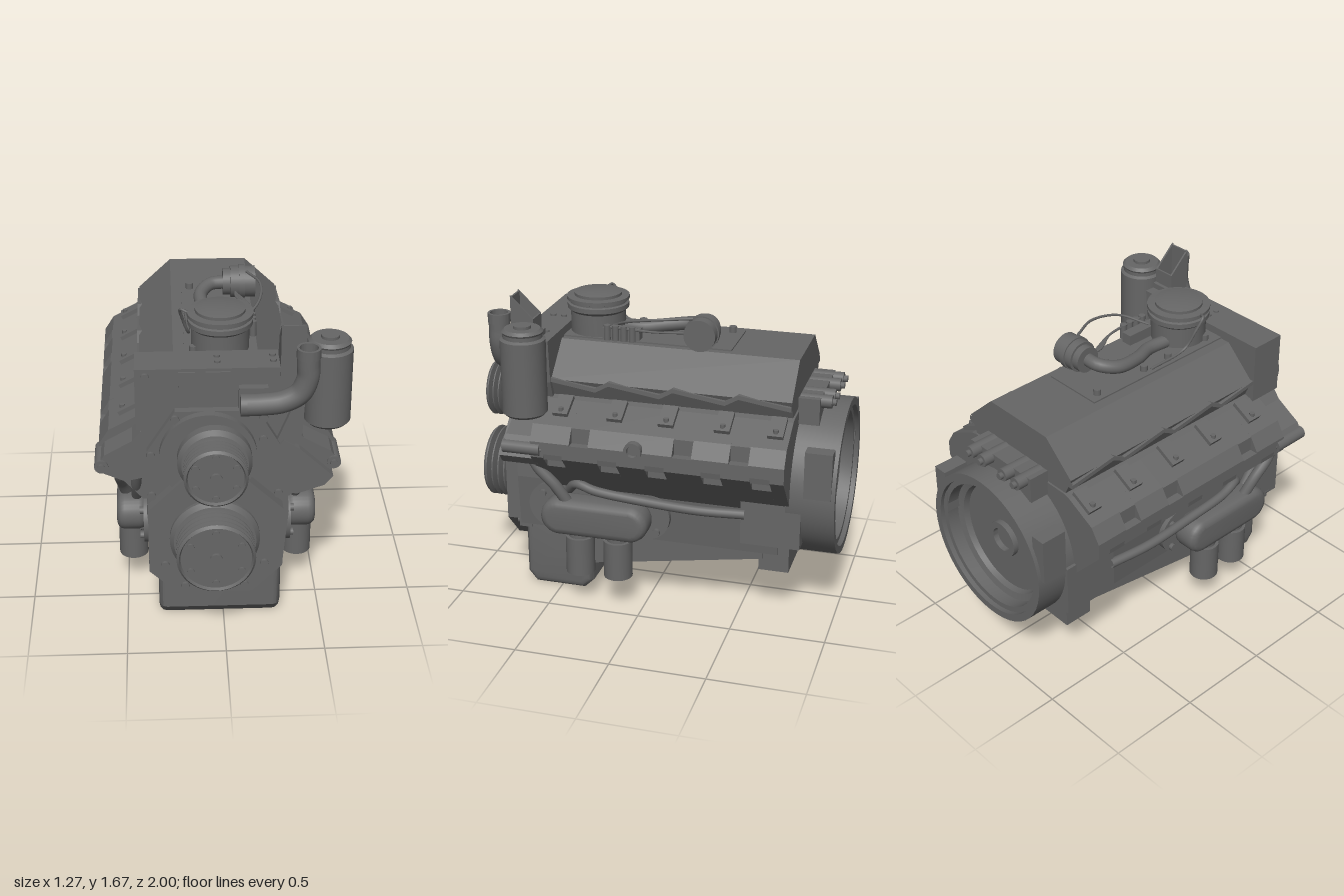
import * as THREE from 'three';
import { toCreasedNormals } from 'three/addons/utils/BufferGeometryUtils.js';

const M = -0.03; // x of the engine's mirror plane
const V = (x, y, z) => new THREE.Vector3(x, y, z);

export function createModel() {
  const root = new THREE.Group();
  root.name = 'engine';
  const metal = new THREE.MeshStandardMaterial({ color: 0x666666, side: THREE.DoubleSide });
  metal.name = 'castGrey';

  const add = (name, geo) => {
    const m = new THREE.Mesh(geo, metal);
    m.name = name;
    root.add(m);
    return m;
  };
  const box = (name, x, y, z, w, h, d) => add(name, new THREE.BoxGeometry(w, h, d).translate(x, y, z));
  // Cylinder centred on a point, along the given axis
  const cyl = (name, x, y, z, r, len, axis = 'y', seg = 32) => {
    const g = new THREE.CylinderGeometry(r, r, len, seg);
    if (axis === 'z') g.rotateX(Math.PI / 2);
    if (axis === 'x') g.rotateZ(Math.PI / 2);
    return add(name, g.translate(x, y, z));
  };
  const shape = pts => new THREE.Shape(pts.map(p => new THREE.Vector2(p[0], p[1])));
  // Outline in (x, y), from z0 to z1
  const plate = (name, pts, z0, z1) =>
    add(name, new THREE.ExtrudeGeometry(shape(pts), { depth: z1 - z0, bevelEnabled: false }).translate(0, 0, z0));
  // Outline in (z, y), from x0 to x1, with an optional rounded edge
  const side = (name, s, x0, x1, bevel = 0) => {
    const g = new THREE.ExtrudeGeometry(s, {
      depth: x1 - x0 - 2 * bevel, bevelEnabled: bevel > 0, bevelSize: bevel, bevelThickness: bevel,
      bevelOffset: -bevel, bevelSegments: 3, curveSegments: 16,
    });
    return add(name, toCreasedNormals(g.rotateY(-Math.PI / 2).translate(x1 - bevel, 0, 0), 0.6));
  };
  // Profile of (radius, height) turned about an axis
  const turn = (name, pts, x, y, z, axis = 'y') => {
    const g = toCreasedNormals(new THREE.LatheGeometry(pts.map(p => new THREE.Vector2(p[0], p[1])), 48), 0.4);
    if (axis === 'z') g.rotateX(Math.PI / 2);
    return add(name, g.translate(x, y, z));
  };
  const tube = (name, pts, r) => add(name,
    new THREE.TubeGeometry(new THREE.CatmullRomCurve3(pts.map(p => V(...p))), 36, r, r > 0.015 ? 16 : 6));
  const stadium = (z0, z1, y, h) => {
    const s = new THREE.Shape();
    s.absarc(z1 - h, y, h, -Math.PI / 2, Math.PI / 2);
    s.absarc(z0 + h, y, h, Math.PI / 2, Math.PI * 1.5);
    return s;
  };
  const mirrored = half => [...half, ...half.slice().reverse().map(p => [-p[0], p[1]])].map(p => [p[0] + M, p[1]]);
  // Casting with pockets cut into its edges at the given z positions
  const pocketed = (name, full, cut, zs) => {
    let z = 0.55;
    for (const c of zs) {
      plate(name, mirrored(full), c + 0.05, z);
      plate(name, mirrored(cut), c - 0.05, c + 0.05);
      z = c - 0.05;
    }
    plate(name, mirrored(full), -0.77, z);
  };

  // Main casting: sloping cylinder banks and hood
  pocketed('upperBanks', [[0.34, 1.14], [0.38, 1.13], [0.54, 1.045], [0.59, 0.965], [0.59, 0.9]],
    [[0.34, 1.14], [0.38, 1.13], [0.545, 1.042], [0.545, 0.96], [0.59, 0.96], [0.59, 0.9]], [0.29, -0.25, -0.54]);
  pocketed('lowerBanks', [[0.59, 0.9], [0.59, 0.88], [0.36, 0.62]],
    [[0.59, 0.9], [0.585, 0.87], [0.53, 0.87], [0.53, 0.812], [0.36, 0.62]], [0.43, 0.14, -0.11, -0.4, -0.65]);
  plate('hood', mirrored([[0.21, 1.4], [0.385, 1.235], [0.335, 1.12]]), -0.76, 0.52);
  plate('crankcase', mirrored([[0.33, 1.03], [0.355, 0.65], [0.33, 0.36]]), -0.7, 0.72);
  box('hoodTopPlate', -0.02, 1.403, 0.05, 0.33, 0.01, 0.9);

  // Deep front sump and rising pan floor
  side('sump', shape([[0.7, 0.45], [0.7, 0.06], [0.65, 0], [0.37, 0], [0.32, 0.05], [0.31, 0.45]]), -0.335, 0.295, 0.04);
  side('panFloor', shape([[0.6, 0.45], [0.6, 0.3], [0.315, 0.17], [-0.62, 0.325], [-0.62, 0.45]]), -0.335, 0.295);
  box('rearFoot', M, 0.4, -0.68, 0.64, 0.28, 0.16);

  // Parts on both banks
  for (const s of [-1, 1]) {
    const X = d => M + s * d;
    const span = (a, b) => [Math.min(X(a), X(b)), Math.max(X(a), X(b))];
    const top = [], bottom = [];
    for (let i = 0; i < 4; i++) {
      const z = 0.53 - i * 0.34;
      top.push([z, 1.25], [z - 0.27, 1.21]);
      bottom.push([z, 1.228], [z - 0.27, 1.188]);
    }
    top.push([-0.76, 1.225]);
    bottom.push([-0.76, 1.203]);
    side('sawtoothLip', shape([...top, ...bottom.reverse()]), ...span(0.33, 0.395));
    for (const z of [0.42, 0.13, -0.14, -0.43, -0.7]) {
      const clip = box('coverClip', 0, 0, 0, 0.13, 0.03, 0.08);
      clip.position.set(X(0.43), 1.112, z);
      clip.rotation.z = -s * 0.49;
      cyl('clipBolt', X(0.47), 1.105, z, 0.014, 0.03, 'y', 8);
    }

    // Oil cooler, filters and hoses
    side('coolerFlange', stadium(-0.13, 0.65, 0.51, 0.13), ...span(0.33, 0.375));
    side('coolerBody', stadium(-0.04, 0.545, 0.505, 0.1), ...span(0.36, 0.515), 0.04);
    for (const [z, y] of [[0.57, 0.58], [0.57, 0.43], [0.44, 0.395], [-0.06, 0.43], [-0.06, 0.58]])
      cyl('flangeBolt', X(0.38), y, z, 0.02, 0.03, 'x', 10);
    for (const z of [0.345, 0.135]) {
      cyl('oilFilter', X(0.435), 0.285, z, 0.077, 0.21);
      cyl('filterNeck', X(0.435), 0.4, z, 0.06, 0.06);
    }
    tube('coolantPipe', [[X(0.38), 0.62, 0.42], [X(0.43), 0.68, 0.36], [X(0.45), 0.66, 0.25], [X(0.45), 0.635, 0],
      [X(0.45), 0.62, -0.3], [X(0.42), 0.615, -0.54]], 0.025);
    tube('frontHose', [[X(0.48), 0.87, 0.6], [X(0.49), 0.78, 0.55], [X(0.48), 0.68, 0.46], [X(0.46), 0.58, 0.4]], 0.03);
    tube('innerHose', [[X(0.4), 0.84, 0.6], [X(0.41), 0.72, 0.54], [X(0.41), 0.6, 0.46]], 0.027);

    // Front engine mount
    plate('mountBracket', [[0.32, 1.13], [0.38, 1.11], [0.42, 1.06], [0.56, 0.98], [0.6, 0.92], [0.57, 0.88], [0.46, 0.83], [0.32, 0.86]]
      .map(p => [X(p[0]), p[1]]), 0.53, 0.69);
    cyl('mountBush', X(0.575), 0.92, 0.6, 0.035, 0.2, 'z', 20);
    cyl('mountBolt', X(0.575), 0.92, 0.6, 0.018, 0.22, 'z', 10);

    // Side boxes on the flywheel housing
    box('housingBox', X(0.31), 0.595, -0.675, 0.22, 0.29, 0.31);
    box('housingPad', X(0.385), 0.87, -0.91, 0.08, 0.25, 0.14);
    for (const z of [-0.87, -0.95]) cyl('housingBolt', X(0.405), 0.77, z, 0.015, 0.04, 'x', 10);
  }
  turn('sidePort', [[0, 0.02], [0.028, 0.02], [0.03, 0.04], [0.046, 0.04], [0.046, 0], [0, 0]], 0, 0, 0)
    .geometry.rotateZ(-Math.PI / 2).translate(0.54, 0.975, 0);

  // Open flywheel housing, flywheel and hub
  turn('flywheelHousing', [[0, 0.2], [0.34, 0.2], [0.415, 0.25], [0.415, 0], [0.375, 0], [0.375, 0.025], [0.345, 0.025],
    [0.345, 0.09], [0.31, 0.1], [0.3, 0.13], [0, 0.13]], M + 0.01, 0.715, -1, 'z');
  turn('flywheelHub', [[0.065, 0.14], [0.065, 0.1], [0.1, 0.1], [0.1, 0.14]], M + 0.01, 0.715, -1, 'z');
  box('rearTopShelf', M + 0.01, 1.14, -0.82, 0.46, 0.14, 0.11);
  for (const x of [-0.2, -0.1, 0.06, 0.155]) {
    cyl('rearPlug', x, 1.185, -0.85, 0.034, 0.16, 'z', 20);
    cyl('plugTip', x, 1.185, -0.935, 0.018, 0.03, 'z', 10);
  }

  // Front timing covers
  plate('upperFrontPlate', [[-0.43, 1.45], [0.39, 1.45], [0.37, 1.22], [0.3, 1.02], [-0.3, 1.02], [-0.41, 1.12], [-0.43, 1.12]], 0.5, 0.69);
  plate('frontPlate', [[-0.38, 1.02], [-0.24, 1.24], [0.16, 1.24], [0.3, 1.0], [0.3, 0.34], [-0.38, 0.34]], 0.66, 0.73);
  plate('lowerTimingCover', [[-0.19, 0.91], [0.09, 0.91], [0.29, 0.72], [0.29, 0.38], [0.14, 0.225], [-0.24, 0.225], [-0.38, 0.36], [-0.38, 0.72]], 0.7, 0.8);
  plate('supportArm', [[0.2, 0.95], [0.29, 1.07], [0.37, 1.02], [0.54, 0.86], [0.5, 0.81], [0.36, 0.76], [0.24, 0.8]], 0.53, 0.73);
  plate('canisterBracket', [[0.24, 1.02], [0.36, 1.32], [0.39, 1.3], [0.38, 1.1], [0.32, 1.0]], 0.58, 0.72);
  for (const [x, w] of [[-0.18, 0.08], [-0.03, 0.12]]) box('platePanel', x, 1.35, 0.69, w, 0.17, 0.02);
  box('plateLug', 0.33, 1.42, 0.62, 0.12, 0.12, 0.13);
  cyl('upperDriveCase', -0.08, 1.0, 0.72, 0.24, 0.1, 'z', 48);
  for (const [x, y, z] of [[-0.38, 1.41, 0.69], [-0.24, 1.2, 0.73], [0.19, 1.2, 0.73], [0.19, 1.08, 0.73], [-0.36, 1.0, 0.73],
    [0.27, 0.77, 0.73], [-0.36, 0.77, 0.73], [-0.3, 0.4, 0.8], [0.2, 0.4, 0.8], [-0.2, 0.27, 0.8], [0.1, 0.27, 0.8], [0.27, 0.37, 0.73], [-0.36, 0.37, 0.73]])
    cyl('coverBolt', x, y, z, 0.022, 0.03, 'z', 12);

  // Grooved pulleys with flat bolted faces
  const pulley = (name, y, back, r, bolts, front) => {
    const prof = [[0, 0.72], [back, 0.72], [back, 0.82], [back - 0.02, 0.845], [r - 0.04, 0.855]];
    const step = (front - 0.86) / 4;
    for (let i = 0; i < 4; i++) {
      const z = 0.86 + step * i;
      prof.push([r - 0.05, z], [r, z + step * 0.4], [r, z + step * 0.6], [r - 0.05, z + step]);
    }
    prof[prof.length - 1] = [r - 0.012, front];
    prof.push([r - 0.02, front - 0.015], [0, front - 0.015]);
    turn(name, prof, -0.05, y, 0, 'z');
    for (let i = 0; i < 6; i++) {
      const a = Math.PI / 6 + i * Math.PI / 3;
      cyl('pulleyBolt', -0.05 + bolts * Math.cos(a), y + bolts * Math.sin(a), front - 0.015, 0.018, 0.02, 'z', 12);
    }
    cyl('pulleyNut', -0.05, y, front - 0.012, 0.03, 0.024, 'z', 20);
  };
  pulley('crankPulley', 0.56, 0.225, 0.195, 0.145, 1.0);
  pulley('upperPulley', 1.005, 0.183, 0.155, 0.113, 0.98);

  // Intake elbow, canister and open duct
  tube('outletElbow', [[0.08, 1.285, 0.755], [0.18, 1.287, 0.755], [0.28, 1.3, 0.755], [0.36, 1.345, 0.755], [0.395, 1.43, 0.755], [0.395, 1.5, 0.755], [0.395, 1.57, 0.755]], 0.055);
  turn('elbowRim', [[0.045, -0.05], [0.045, 0], [0.058, 0], [0.058, -0.05]], 0.395, 1.585, 0.755);
  cyl('elbowEnd', 0.09, 1.285, 0.755, 0.055, 0.03, 'x');
  box('elbowBase', 0.14, 1.3, 0.7, 0.14, 0.12, 0.06);
  turn('canister', [[0, 1.1], [0.1, 1.1], [0.115, 1.115], [0.115, 1.5], [0.1, 1.51], [0.1, 1.53], [0.105, 1.54], [0.09, 1.555],
    [0.045, 1.555], [0.045, 1.57], [0, 1.57]], 0.515, 0, 0.585);
  for (const x of [0.275, 0.385]) side('ductSide', shape([[0.695, 1.4], [0.695, 1.675], [0.575, 1.56], [0.575, 1.4]]), x - 0.005, x + 0.005);
  box('ductFront', 0.33, 1.535, 0.69, 0.11, 0.27, 0.01);
  box('ductBack', 0.33, 1.48, 0.58, 0.11, 0.16, 0.01);

  // Air cleaner
  turn('airCleaner', [[0.145, 1.38], [0.145, 1.52], [0.162, 1.535], [0.162, 1.56], [0.15, 1.565], [0.15, 1.575], [0.165, 1.58],
    [0.165, 1.597], [0.125, 1.6], [0.125, 1.615], [0.08, 1.624], [0, 1.626]], -0.005, 0, 0.357);

  // Side breather with hose
  cyl('breather', 0.14, 1.485, -0.245, 0.083, 0.13, 'x');
  cyl('breatherCap', 0.06, 1.485, -0.245, 0.07, 0.05, 'x');
  cyl('breatherBand', 0.135, 1.485, -0.245, 0.09, 0.03, 'x');
  tube('breatherHose', [[0.06, 1.485, -0.24], [-0.03, 1.48, -0.23], [-0.085, 1.46, -0.15], [-0.07, 1.44, 0], [-0.03, 1.43, 0.12], [-0.04, 1.43, 0.26]], 0.035);

  // Connectors and thin wires
  for (let i = 0; i < 4; i++) {
    cyl('connector', 0.165, 1.45, 0.12 + i * 0.045, 0.018, 0.08, 'y', 12);
    tube('wire', [[0.165, 1.48, 0.12 + i * 0.045], [0.16, 1.47, 0.02], [0.1, 1.46, -0.1 - i * 0.02], [0.1, 1.46, -0.2]], 0.006);
  }
  box('connectorBlock', 0.11, 1.43, 0.19, 0.06, 0.07, 0.2);
  tube('longWire', [[0.1, 1.47, 0.24], [0.2, 1.53, 0.12], [0.22, 1.56, -0.05], [0.16, 1.56, -0.2]], 0.007);
  tube('cleanerWire', [[-0.16, 1.59, 0.36], [-0.2, 1.6, 0.34], [-0.19, 1.53, 0.3], [-0.16, 1.43, 0.25], [-0.17, 1.42, 0]], 0.008);
  for (const z of [0.42, 0.15, -0.02, -0.34]) cyl('topBolt', -0.14, 1.42, z, 0.02, 0.04, 'y', 12);
  for (const x of [-0.03, 0.24]) for (const z of [0.56, 0.62]) cyl('plateBolt', x, 1.45, z, 0.016, 0.02, 'y', 12);

  return root;
}
